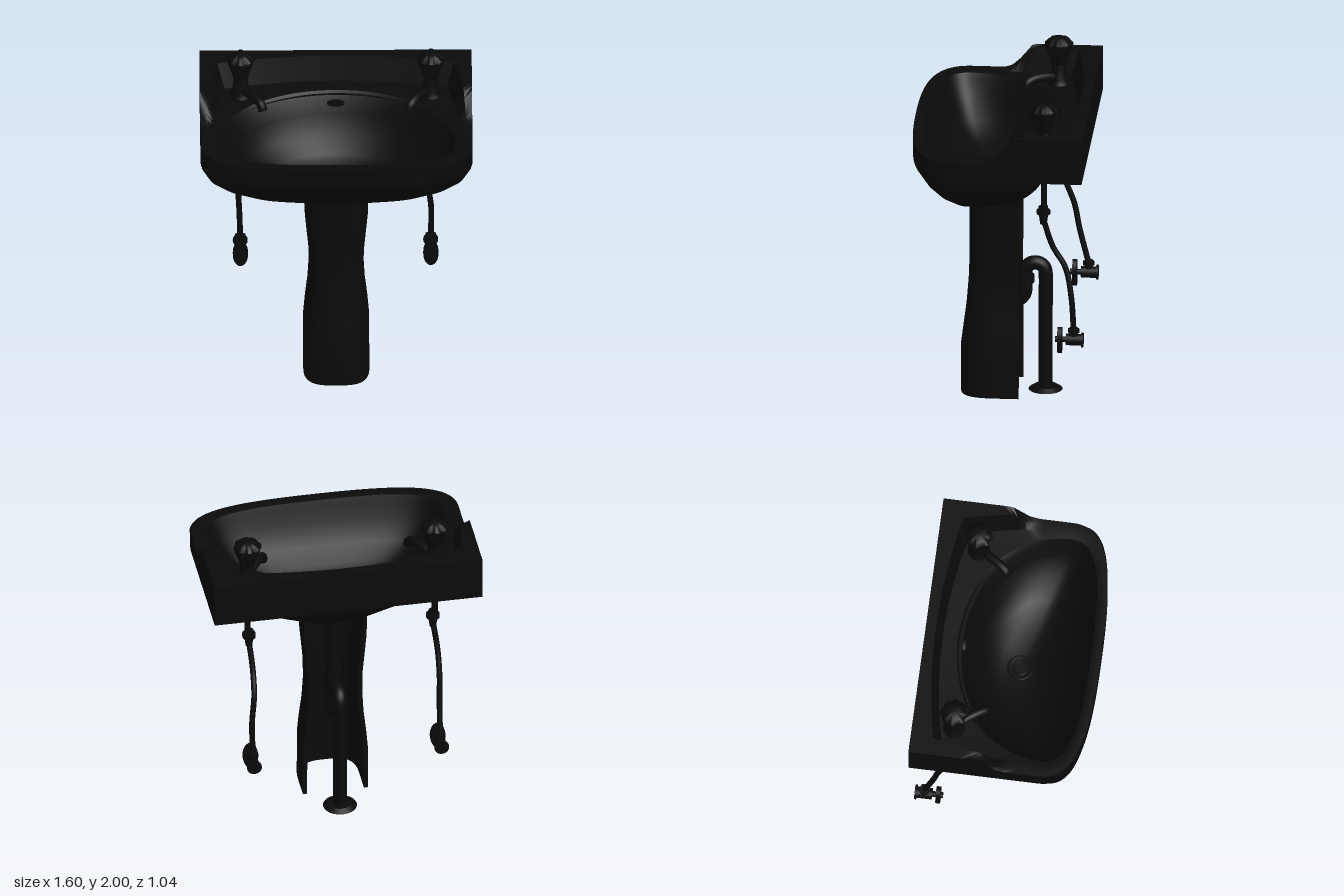
import * as THREE from 'three';
import { toCreasedNormals } from 'three/addons/utils/BufferGeometryUtils.js';

const material = new THREE.MeshStandardMaterial({ color: 0x0a0a0a, side: THREE.DoubleSide });
const V = (x, y, z) => new THREE.Vector3(x, y, z);
const lerp = THREE.MathUtils.lerp;

function add(parent, name, geometry, x = 0, y = 0, z = 0) {
  const mesh = new THREE.Mesh(geometry, material);
  mesh.name = name;
  mesh.position.set(x, y, z);
  parent.add(mesh);
  return mesh;
}

// Skin a list of closed rings, keeping strong edges sharp
function loft(rings, crease = 0.6) {
  const n = rings[0].length, index = [];
  for (let r = 0; r < rings.length - 1; r++) {
    for (let i = 0; i < n; i++) {
      const a = r * n + i, b = r * n + (i + 1) % n;
      index.push(a, a + n, b, b, a + n, b + n);
    }
  }
  const g = new THREE.BufferGeometry().setFromPoints(rings.flat());
  g.setIndex(index);
  return toCreasedNormals(g, crease);
}

// Symmetric plan outline: back corner from square (round 0) to oval (round 1), bowed front
function outline(x, zBack, zFront, round, y, zMid = lerp(zBack, zFront, 0.74)) {
  const half = [], steps = 48;
  for (let i = 0; i <= steps; i++) {
    const t = i / steps, a = t * Math.PI / 2;
    const rx = x * Math.min(1, 2 * t), rz = lerp(zBack, zMid, Math.max(0, 2 * t - 1));
    half.push([lerp(rx, x * Math.sin(a), round), lerp(rz, zMid + (zBack - zMid) * Math.cos(a), round)]);
  }
  const d = zFront - zMid;
  const front = new THREE.CubicBezierCurve(
    new THREE.Vector2(x, zMid), new THREE.Vector2(x, zMid + d * 0.9),
    new THREE.Vector2(x * 0.56, zFront), new THREE.Vector2(0, zFront));
  front.getPoints(28).slice(1).forEach(p => half.push([p.x, p.y]));
  const other = half.slice(1, -1).reverse().map(([px, pz]) => [-px, pz]);
  return [...half, ...other].map(([px, pz]) => V(px, typeof y === 'function' ? y(pz) : y, pz));
}

// Rim height: low at the front, sweeping up to the back ledge
function rim(z) {
  if (z > 0.05) return 1.71;
  if (z > -0.01) return lerp(1.735, 1.71, (z + 0.01) / 0.06);
  if (z > -0.11) return lerp(1.86, 1.735, (z + 0.11) / 0.1);
  return 1.86;
}

function basin() {
  const g = new THREE.Group();
  g.name = 'basin';
  // Hollow ledge skirt, rim, recessed tap deck and bowl interior
  add(g, 'basinTop', loft([
    outline(0.77, -0.49, 0.49, 0, 1.69),
    outline(0.77, -0.49, 0.49, 0, 1.59),
    outline(0.8, -0.52, 0.52, 0, 1.59),
    outline(0.8, -0.52, 0.52, 0, rim),
    outline(0.775, -0.46, 0.505, 0.35, rim),
    outline(0.74, -0.42, 0.485, 0.4, 1.71),
    outline(0.7, -0.33, 0.46, 0.95, 1.705),
    outline(0.68, -0.305, 0.445, 1, 1.67),
    outline(0.64, -0.27, 0.41, 1, 1.58),
    outline(0.55, -0.21, 0.345, 1, 1.46),
    outline(0.42, -0.14, 0.26, 1, 1.38),
    outline(0.25, -0.07, 0.17, 1, 1.335),
    outline(0.03, 0.02, 0.06, 1, 1.315),
    outline(0.001, 0.039, 0.041, 1, 1.315),
  ]));
  add(g, 'deckUnderside', loft([
    outline(0.79, -0.51, 0.5, 0, 1.69),
    outline(0.7, -0.3, 0.46, 0.95, 1.69),
  ]));
  // Rounded outside of the bowl
  const shell = [[0.001, 0.019, 0.021, 1.25], [0.16, -0.14, 0.16, 1.25], [0.34, -0.19, 0.23, 1.275],
    [0.54, -0.235, 0.31, 1.335], [0.67, -0.28, 0.385, 1.41], [0.75, -0.31, 0.45, 1.49],
    [0.793, -0.33, 0.513, 1.59], [0.796, -0.335, 0.516, 1.69]];
  add(g, 'bowlOutside', loft(shell.map(([x, b, f, y]) => outline(x, b, f, 0.85, y))));
  // Waste fitting and overflow
  for (const r of [0.07, 0.04]) {
    add(g, 'wasteRing', new THREE.TorusGeometry(r, 0.009, 8, 32), 0, 1.325, 0.04).rotation.x = Math.PI / 2;
  }
  add(g, 'wastePlug', new THREE.CylinderGeometry(0.035, 0.035, 0.02, 24), 0, 1.32, 0.04);
  const slot = add(g, 'overflow', new THREE.CylinderGeometry(0.02, 0.02, 0.02, 20), 0, 1.64, -0.29);
  slot.rotation.x = Math.PI / 2;
  slot.scale.x = 2.6;
  return g;
}

// Channel-shaped column, open at the back
function pedestal() {
  const section = (w, zf, y, t) => {
    const pts = [V(-w, y, -0.1)], e = w - t, top = zf - t;
    for (let i = 0; i <= 24; i++) {
      const a = Math.PI * (1 - i / 24), c = Math.cos(a), s = Math.sin(a);
      pts.push(V(Math.sign(c) * w * Math.abs(c) ** 0.6, y, lerp(0.04, zf, s ** 0.7)));
    }
    pts.push(V(w, y, -0.1));
    const inner = pts.map(p => V(p.x * e / w, y, p.z < 0 ? p.z : p.z * top / zf)).reverse();
    return [...pts, ...inner];
  };
  const levels = [[0, 0.195, 0.25], [0.3, 0.193, 0.25], [0.42, 0.183, 0.235], [0.55, 0.168, 0.218],
    [0.7, 0.16, 0.206], [0.85, 0.163, 0.2], [1, 0.177, 0.2], [1.1, 0.186, 0.2], [1.27, 0.19, 0.2]];
  const rings = levels.map(([y, w, zf]) => section(w, zf, y, 0.025));
  rings.unshift(section(0.195, 0.25, 0, 0)); // closes the foot
  return loft(rings);
}

function wastePipe() {
  const g = new THREE.Group();
  g.name = 'wastePipe';
  const path = [V(0, 1.28, 0.015), V(0, 1.0, 0.015), V(0, 0.75, 0.015)];
  for (let i = 0; i <= 8; i++) {
    const a = Math.PI * i / 8;
    path.push(V(0, 0.62 - 0.07 * Math.sin(a), -0.055 + 0.07 * Math.cos(a)));
  }
  for (let i = 0; i <= 8; i++) {
    const a = Math.PI * i / 8;
    path.push(V(0, 0.73 + 0.06 * Math.sin(a), -0.185 + 0.06 * Math.cos(a)));
  }
  path.push(V(0, 0.5, -0.245), V(0, 0.25, -0.245), V(0, 0, -0.245));
  add(g, 'trapPipe', new THREE.TubeGeometry(new THREE.CatmullRomCurve3(path), 160, 0.042, 18));
  for (const [y, z] of [[1.18, 0.015], [0.78, 0.015], [0.69, -0.125]]) {
    add(g, 'pipeNut', new THREE.CylinderGeometry(0.054, 0.054, 0.045, 20), 0, y, z);
  }
  add(g, 'floorFlange', new THREE.CylinderGeometry(0.07, 0.1, 0.02, 32), 0, 0.01, -0.245);
  return g;
}

function tap(side) {
  const g = new THREE.Group();
  g.name = side > 0 ? 'leftTap' : 'rightTap';
  g.position.set(0.56 * side, 0, -0.28);
  const lathe = pts => new THREE.LatheGeometry(pts.map(p => new THREE.Vector2(...p)), 64);
  add(g, 'tapBody', lathe([[0, 1.7], [0.065, 1.7], [0.065, 1.72], [0.048, 1.735], [0.045, 1.8], [0.035, 1.85]]));
  // Fluted handle
  const head = lathe([[0, 1.83], [0.042, 1.83], [0.05, 1.87], [0.079, 1.955], [0.078, 1.967], [0.055, 1.99], [0.03, 2], [0, 2]]);
  const p = head.attributes.position;
  for (let i = 0; i < p.count; i++) {
    const k = 1 + 0.07 * Math.cos(8 * Math.atan2(p.getZ(i), p.getX(i)));
    p.setX(i, p.getX(i) * k);
    p.setZ(i, p.getZ(i) * k);
  }
  add(g, 'tapHandle', toCreasedNormals(head, 0.7));
  // Spout angled in towards the bowl
  const spout = new THREE.CatmullRomCurve3([V(0, 1.745, 0), V(-0.05 * side, 1.765, 0.07),
    V(-0.1 * side, 1.765, 0.145), V(-0.122 * side, 1.75, 0.175), V(-0.128 * side, 1.72, 0.185)]);
  add(g, 'spout', new THREE.TubeGeometry(spout, 28, 0.027, 14));
  // Threaded tail and its nuts under the basin
  add(g, 'tapTail', new THREE.CylinderGeometry(0.019, 0.019, 0.4, 16), 0, 1.52, 0);
  return g;
}

function supply(side) {
  const g = new THREE.Group();
  g.name = side > 0 ? 'leftSupply' : 'rightSupply';
  const x = 0.55 * side;
  add(g, 'couplingCollar', new THREE.CylinderGeometry(0.028, 0.028, 0.06, 16), x, 1.325, -0.276);
  add(g, 'couplingRing', new THREE.CylinderGeometry(0.04, 0.04, 0.024, 20), x, 1.32, -0.276);
  add(g, 'couplingNut', new THREE.CylinderGeometry(0.028, 0.02, 0.06, 8), x, 1.275, -0.276);
  // Flexible hose
  const path = side > 0
    ? [[0.55, 1.27, -0.276], [0.537, 1.1, -0.33], [0.543, 0.97, -0.405], [0.562, 0.8, -0.44], [0.56, 0.58, -0.455]]
    : [[-0.55, 1.27, -0.276], [-0.57, 1.1, -0.315], [-0.572, 0.95, -0.37], [-0.566, 0.8, -0.4], [-0.56, 0.58, -0.455]];
  add(g, 'hose', new THREE.TubeGeometry(new THREE.CatmullRomCurve3(path.map(q => V(...q))), 48, 0.017, 12));
  // Angle valve with an oval handle
  const valve = new THREE.Group();
  valve.name = 'angleValve';
  valve.position.set(0.56 * side, 0.525, 0);
  g.add(valve);
  add(valve, 'valveOutlet', new THREE.CylinderGeometry(0.024, 0.024, 0.06, 16), 0, 0.035, -0.455);
  add(valve, 'valveNut', new THREE.CylinderGeometry(0.034, 0.034, 0.025, 6), 0, 0.057, -0.455);
  for (const [name, r, len, z] of [['valveBody', 0.034, 0.09, -0.455], ['valveStem', 0.017, 0.08, -0.385],
    ['wallFlange', 0.044, 0.012, -0.506]]) {
    add(valve, name, new THREE.CylinderGeometry(r, r, len, 20), 0, 0, z).rotation.x = Math.PI / 2;
  }
  const handle = add(valve, 'valveHandle', new THREE.CylinderGeometry(0.045, 0.045, 0.026, 28), 0, -0.005, -0.373);
  handle.rotation.x = Math.PI / 2;
  handle.scale.z = 1.8;
  return g;
}

export function createModel() {
  const model = new THREE.Group();
  model.name = 'pedestalSink';
  model.add(basin());
  add(model, 'pedestal', pedestal());
  model.add(wastePipe());
  for (const side of [1, -1]) model.add(tap(side), supply(side));
  return model;
}
